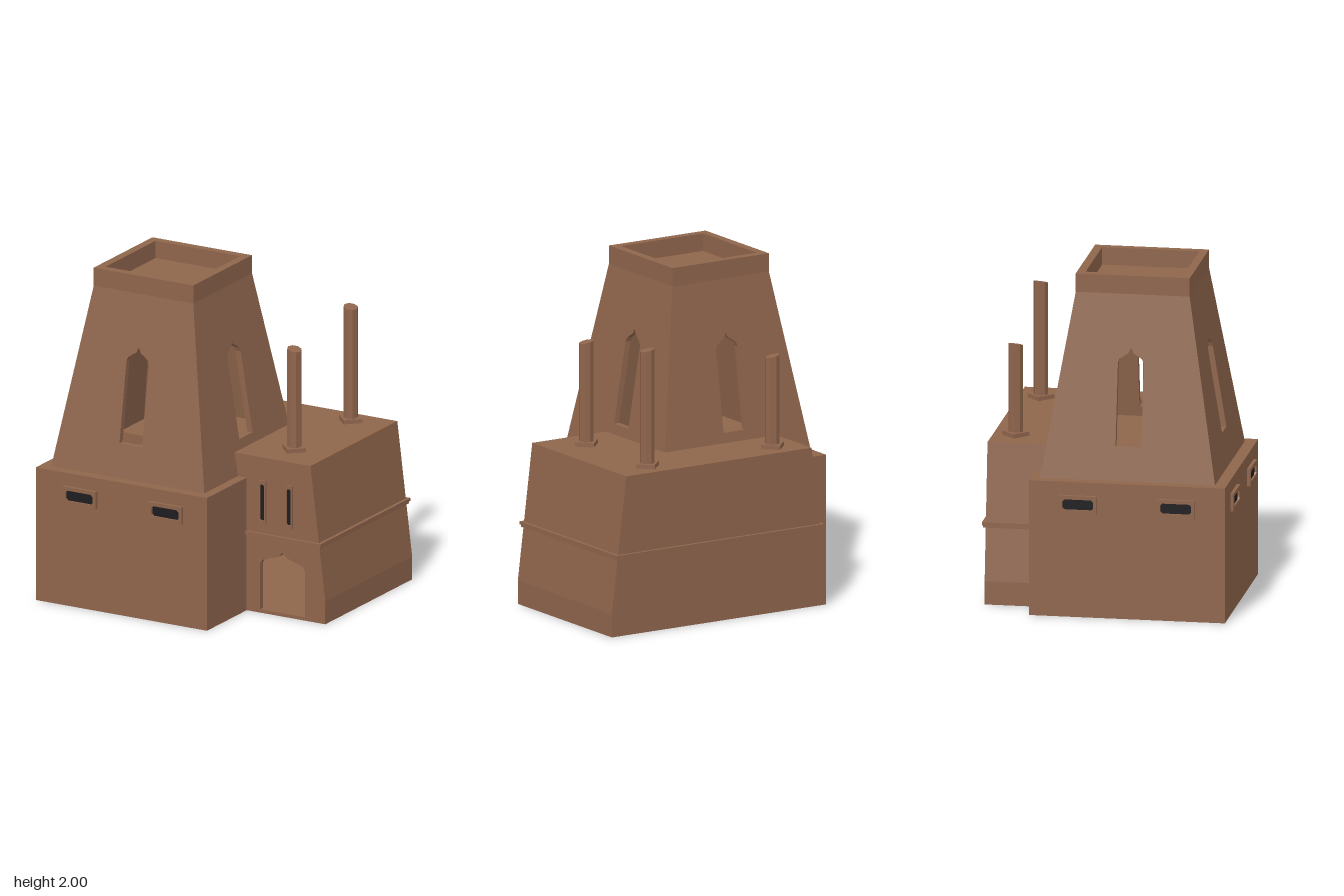
import * as THREE from 'three';

const clay = new THREE.MeshStandardMaterial({ color: 0x8f654c });
clay.name = 'clay';
const shadowGlass = new THREE.MeshStandardMaterial({ color: 0x1d1d20 });
shadowGlass.name = 'darkOpening';

const poly = (pts) => new THREE.Shape(pts.map(([x, y]) => new THREE.Vector2(x, y)));

function add(parent, name, geometry, material = clay) {
  const mesh = new THREE.Mesh(geometry, material);
  mesh.name = name;
  parent.add(mesh);
  return mesh;
}

// Box given by its two extreme corners
function box(parent, name, [x0, y0, z0], [x1, y1, z1]) {
  const g = new THREE.BoxGeometry(x1 - x0, y1 - y0, z1 - z0);
  g.translate((x0 + x1) / 2, (y0 + y1) / 2, (z0 + z1) / 2);
  return add(parent, name, g);
}

// Outline in the xy plane pulled from z0 to z1
function slab(parent, name, shape, z0, z1, material) {
  const g = new THREE.ExtrudeGeometry(shape, { depth: z1 - z0, bevelEnabled: false });
  g.translate(0, 0, z0);
  return add(parent, name, g, material);
}

// Pointed ogee opening
function ogee(cx, y0, spring, peak, w) {
  const r = peak - spring;
  const half = [[w, spring], [w * 0.88, spring + r * 0.28], [w * 0.5, spring + r * 0.5], [w * 0.2, spring + r * 0.66]];
  return poly([
    [cx - w, y0], [cx + w, y0],
    ...half.map(([x, y]) => [cx + x, y]), [cx, peak],
    ...half.reverse().map(([x, y]) => [cx - x, y]),
  ]);
}

// Rectangle with cut corners
function cutRect(w, h, c) {
  return poly([[-w + c, -h], [w - c, -h], [w, -h + c], [w, h - c], [w - c, h], [-w + c, h], [-w, h - c], [-w, -h + c]]);
}

// Raised frame around a dark slot, facing +z
function slotWindow(parent, name, w, h, border, depth) {
  const g = new THREE.Group();
  g.name = name;
  const frame = poly([[-w, -h], [w, -h], [w, h], [-w, h]]);
  const c = Math.min(w, h) * 0.25;
  frame.holes.push(cutRect(w - border[0], h - border[1], c));
  slab(g, 'windowFrame', frame, 0, depth);
  slab(g, 'windowOpening', cutRect(w - border[0], h - border[1], c), 0, Math.min(0.008, depth * 0.5), shadowGlass);
  parent.add(g);
  return g;
}

// Hollow front block
function buildBlock(parent) {
  const g = new THREE.Group();
  g.name = 'lowerBlock';
  const t = 0.04;
  box(g, 'blockFrontWall', [-0.835, 0, 0.725 - t], [0.32, 0.81, 0.725]);
  box(g, 'blockLeftEndWall', [-0.835, 0, -0.43], [-0.835 + t, 0.81, 0.725]);
  box(g, 'blockInnerWall', [0.32 - t, 0, 0.235], [0.32, 0.81, 0.725]);
  box(g, 'blockBackWall', [-0.835, 0, -0.43], [-0.58, 0.81, -0.43 + t]);
  box(g, 'blockRoof', [-0.835, 0.77, -0.43], [0.32, 0.81, 0.725]);
  box(g, 'blockFloor', [-0.835, 0, -0.43], [0.32, 0.018, 0.725]);
  for (const x of [-0.5325, 0.0475]) {
    slotWindow(g, 'frontSlotWindow', 0.112, 0.053, [0.02, 0.022], 0.02).position.set(x, 0.678, 0.725);
  }
  for (const z of [-0.14, 0.438]) {
    const w = slotWindow(g, 'sideSlotWindow', 0.112, 0.053, [0.02, 0.022], 0.02);
    w.position.set(-0.835, 0.678, z);
    w.rotation.y = -Math.PI / 2;
  }
  parent.add(g);
}

// Hollow annex with sloped ends, a doorway and a ledge
function buildAnnex(parent) {
  const g = new THREE.Group();
  g.name = 'annex';
  const t = 0.035;
  const zb = -0.725, zf = 0.27;
  const front = poly([[0.28, 0], [0.85, 0], [0.85, 0.14], [0.75, 0.95], [-0.54, 0.95], [-0.557, 0.81], [0.28, 0.81]]);
  front.holes.push(ogee(0.5625, 0.02, 0.3, 0.39, 0.1525));
  slab(g, 'annexFrontWall', front, zf - t, zf);
  const back = poly([[-0.64, 0], [0.85, 0], [0.85, 0.14], [0.75, 0.95], [-0.54, 0.95], [-0.64, 0.14]]);
  slab(g, 'annexBackWall', back, zb, zb + t);
  slab(g, 'annexRightEndWall', poly([[0.85 - t, 0], [0.85, 0], [0.85, 0.14], [0.75, 0.95], [0.75 - t, 0.95], [0.85 - t, 0.14]]), zb, zf);
  slab(g, 'annexLeftEndWall', poly([[-0.64, 0], [-0.64 + t, 0], [-0.64 + t, 0.14], [-0.54 + t, 0.95], [-0.54, 0.95], [-0.64, 0.14]]), zb, -0.4);
  slab(g, 'annexUpperEndWall', poly([[-0.557, 0.81], [-0.557 + t, 0.81], [-0.54 + t, 0.95], [-0.54, 0.95]]), -0.4, zf);
  box(g, 'annexRoof', [-0.54, 0.915, zb], [0.75, 0.95, zf]);
  box(g, 'annexFloor', [-0.64, 0, zb], [0.85, 0.02, zf]);

  // Two-step ledge
  box(g, 'ledgeLower', [-0.613, 0.455, -0.738], [0.82, 0.475, 0.28]);
  box(g, 'ledgeUpper', [-0.62, 0.47, -0.745], [0.827, 0.488, 0.287]);

  for (const x of [0.43, 0.61]) {
    slotWindow(g, 'tallSlotWindow', 0.024, 0.132, [0.011, 0.023], 0.012).position.set(x, 0.678, zf);
  }

  // Roof posts with skewed tops
  for (const [x, z, top] of [[0.515, -0.59, 1.66], [0.515, 0.055, 1.58], [-0.355, -0.59, 1.51]]) {
    const post = new THREE.Group();
    post.name = 'roofPost';
    const base = new THREE.BoxGeometry(0.113, 0.025, 0.113);
    base.rotateY(Math.PI / 4);
    base.translate(0, 0.9625, 0);
    add(post, 'postBase', base);
    const shaft = new THREE.CylinderGeometry(0.043, 0.043, top - 0.95, 8).toNonIndexed();
    shaft.translate(0, (top + 0.95) / 2, 0);
    const p = shaft.attributes.position;
    for (let i = 0; i < p.count; i++) {
      if (p.getY(i) > 1.2) p.setY(i, top - 0.012 - 0.2 * p.getX(i) - 0.1 * p.getZ(i));
    }
    shaft.computeVertexNormals();
    add(post, 'postShaft', shaft);
    post.position.set(x, 0, z);
    g.add(post);
  }
  parent.add(g);
}

// Tapered hollow tower with a pointed window in each wall
function buildTower(parent) {
  const g = new THREE.Group();
  g.name = 'tower';
  const y0 = 0.81, y1 = 1.89, h0 = 0.516, h1 = 0.336, t = 0.036;
  const half = (y) => h0 + (h1 - h0) * (y - y0) / (y1 - y0);
  const shifts = [0, 0.0175, 0, 0];
  shifts.forEach((shift, i) => {
    const side = new THREE.Group();
    side.name = 'towerSide';
    const shape = poly([[-h0, y0], [h0, y0], [h1, y1], [-h1, y1]]);
    shape.holes.push(ogee(shift, 1.01, 1.49, 1.58, 0.076));
    const wall = new THREE.ExtrudeGeometry(shape, { depth: t, bevelEnabled: false });
    // Lean the wall inward while keeping sills level
    const p = wall.attributes.position;
    for (let k = 0; k < p.count; k++) p.setZ(k, half(p.getY(k)) - t + p.getZ(k));
    wall.computeVertexNormals();
    add(side, 'towerWall', wall);
    box(side, 'parapet', [-h1, y1, h1 - 0.05], [h1, 2, h1]);
    side.rotation.y = i * Math.PI / 2;
    g.add(side);
  });
  box(g, 'towerRoof', [-h1 + 0.01, y1 - 0.03, -h1 + 0.01], [h1 - 0.01, y1 + 0.005, h1 - 0.01]);
  g.position.set(-0.255, 0, 0.14);
  parent.add(g);
}

export function createModel() {
  const model = new THREE.Group();
  model.name = 'clayTowerHouse';
  buildBlock(model);
  buildAnnex(model);
  buildTower(model);
  return model;
}
